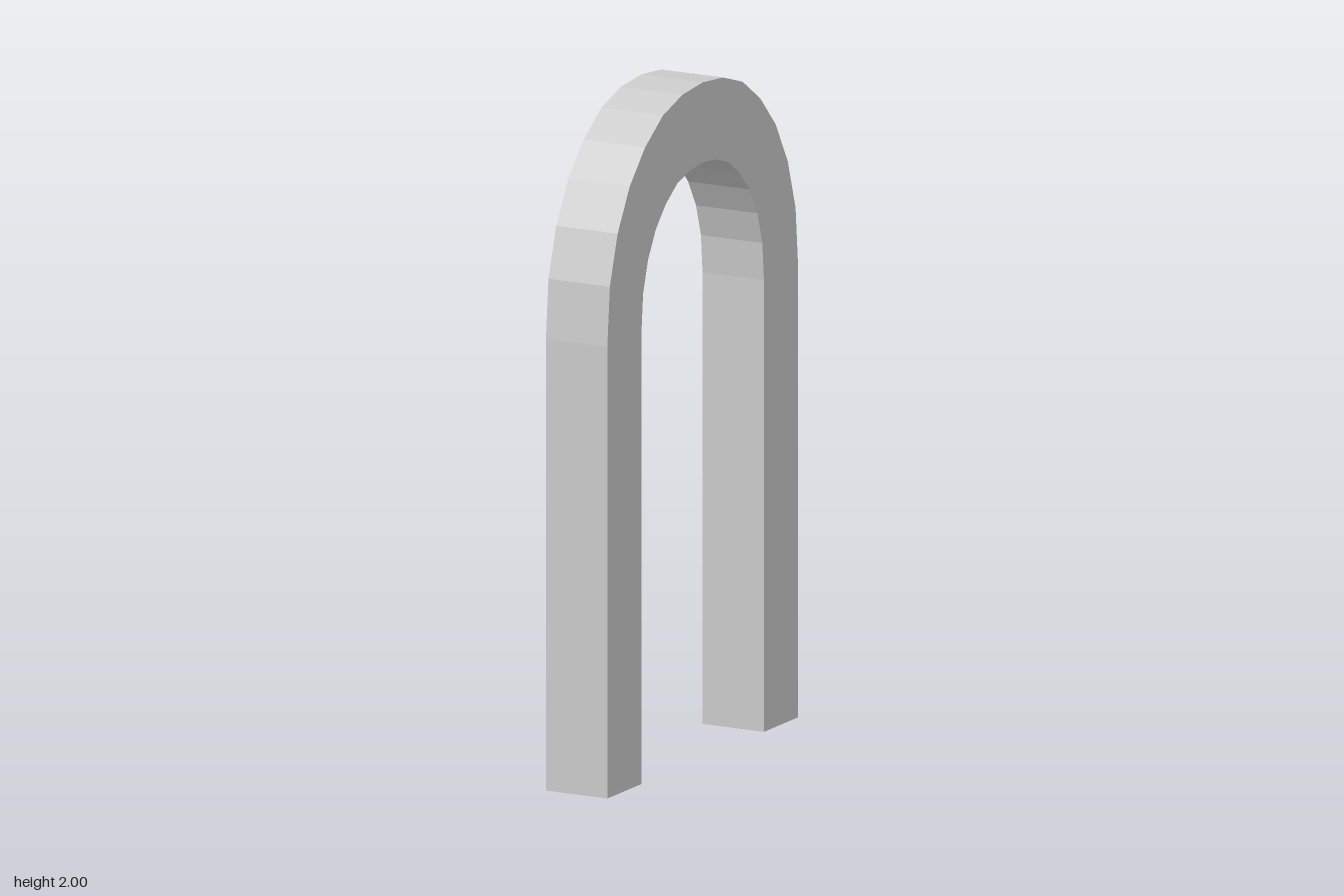
import * as THREE from 'three';

const WIDTH = 0.202;
const SPRING = 1.337; // height where the arch leaves the straight legs
const INNER = 0.642; // inner curve relative to the outer one

// Half of the outer curve, from the leg to the crown: [z, height above SPRING]
const HALF = [
  [0.566, 0], [0.551, 0.175], [0.505, 0.322], [0.433, 0.447],
  [0.342, 0.543], [0.236, 0.615], [0.12, 0.652], [0, 0.663],
];

// Full curve from one leg to the other, including the feet
function archLine(scale) {
  const half = HALF.map(([z, h]) => new THREE.Vector2(z * scale, SPRING + h * scale));
  const mirrored = half.slice(0, -1).reverse().map((p) => new THREE.Vector2(-p.x, p.y));
  const foot = half[0].x;
  return [new THREE.Vector2(foot, 0), ...half, ...mirrored, new THREE.Vector2(-foot, 0)];
}

export function createModel() {
  const group = new THREE.Group();
  group.name = 'archModel';

  // Square-section arch: outer curve out, inner curve back
  const shape = new THREE.Shape([...archLine(1), ...archLine(INNER).reverse()]);
  const geometry = new THREE.ExtrudeGeometry(shape, { depth: WIDTH, bevelEnabled: false });
  geometry.translate(0, 0, -WIDTH / 2);
  geometry.rotateY(Math.PI / 2); // the arch spans front to back

  const material = new THREE.MeshStandardMaterial({ color: 0xcccccc, flatShading: true });
  const arch = new THREE.Mesh(geometry, material);
  arch.name = 'arch';
  group.add(arch);
  return group;
}
